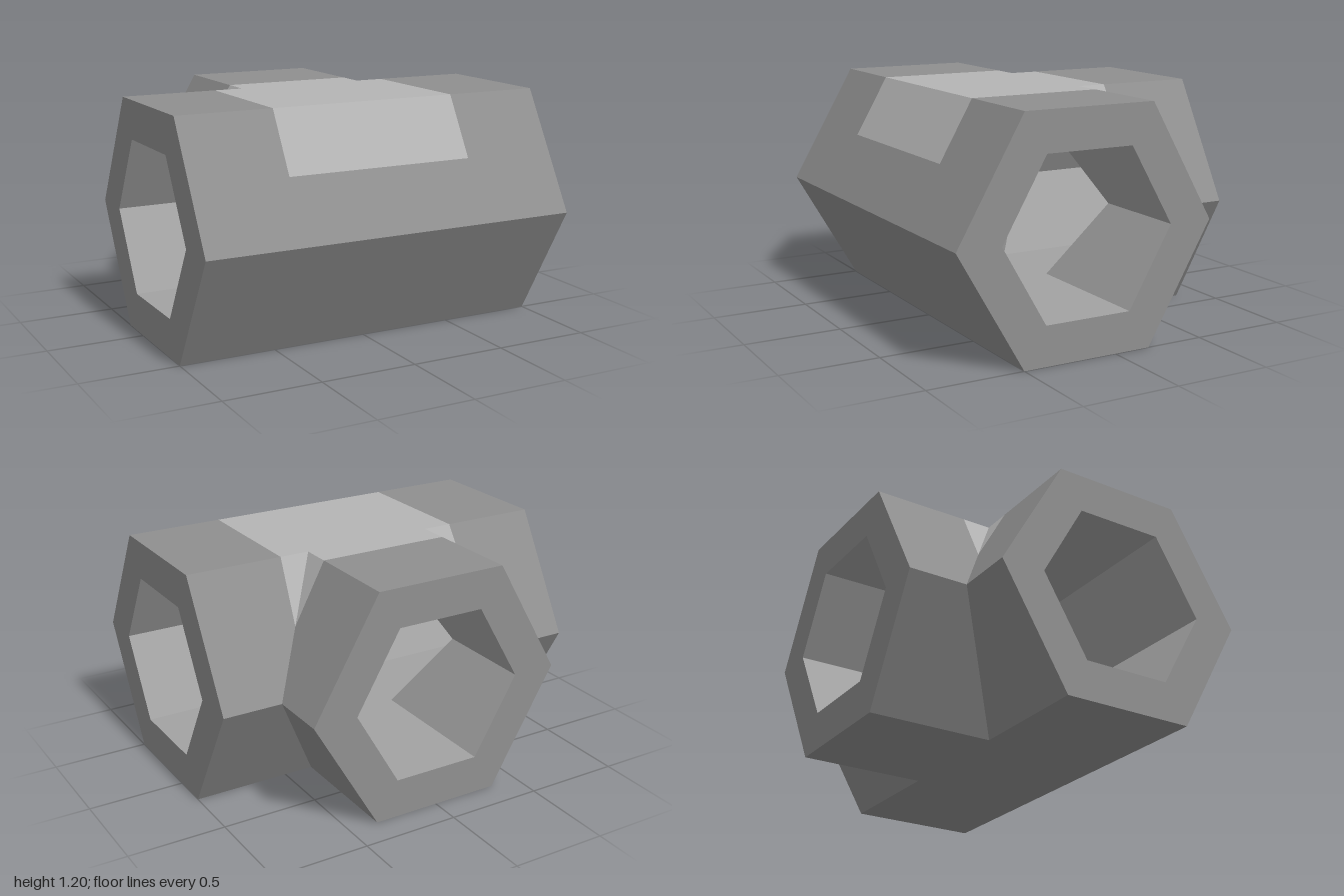
import * as THREE from 'three';

const R_OUT = 1.2 / Math.sqrt(3);  // outer hexagon corner radius
const R_IN = 0.8 / Math.sqrt(3);   // bore corner radius
const CY = 0.6, CZ = (1 - R_OUT) / 2; // where the three arm axes meet
const ARM = 1;                     // length of each arm
const PANEL = 0.5, DROP = 0.3;     // reach of the pale panel, height of its lower edge above the axes

// Local point: a along the main tube, b along the branch (backwards), y from the axis
const at = (a, b, y) => new THREE.Vector3(a, CY + y, CZ - b);

// Adds a convex polygon as a fan, wound so that it faces along 'out'
function poly(list, out, pts) {
  const n = new THREE.Vector3().subVectors(pts[1], pts[0])
    .cross(new THREE.Vector3().subVectors(pts[2], pts[0]));
  const p = n.dot(out) < 0 ? [...pts].reverse() : pts;
  for (let i = 1; i < p.length - 1; i++) {
    for (const v of [p[0], p[i], p[i + 1]]) list.push(v.x, v.y, v.z);
  }
}

function toMesh(list, material, name) {
  const g = new THREE.BufferGeometry();
  g.setAttribute('position', new THREE.Float32BufferAttribute(list, 3));
  g.computeVertexNormals();
  const mesh = new THREE.Mesh(g, material);
  mesh.name = name;
  return mesh;
}

// Walls of a hexagonal tee; facing = 1 looks outwards, -1 inwards
function teeWalls(R, facing, body, panel) {
  const h = R * Math.sqrt(3) / 2, half = R / 2;
  const r = y => R - y / Math.sqrt(3);
  const dir = (x, y, z) => new THREE.Vector3(x, y, z).multiplyScalar(facing);

  for (const v of [1, -1]) {
    const pale = v > 0 ? panel : body;

    // flat top and bottom
    const flat = (list, a0, a1, b0, b1) => poly(list, dir(0, v, 0),
      [at(a0, b0, v * h), at(a1, b0, v * h), at(a1, b1, v * h), at(a0, b1, v * h)]);
    flat(body, -ARM, -PANEL, -half, half);
    flat(pale, -PANEL, PANEL, -half, half);
    flat(body, PANEL, ARM, -half, half);
    flat(pale, -half, half, half, PANEL);
    flat(body, -half, half, PANEL, ARM);

    // front slopes
    const slope = (list, a0, a1, y0, y1) => poly(list, dir(0, v * 0.5, 1),
      [at(a0, -r(y0), v * y0), at(a1, -r(y0), v * y0), at(a1, -r(y1), v * y1), at(a0, -r(y1), v * y1)]);
    slope(body, -ARM, -PANEL, DROP, h);
    slope(pale, -PANEL, PANEL, DROP, h);
    slope(body, PANEL, ARM, DROP, h);
    slope(body, -ARM, ARM, 0, DROP);

    // back slopes of the main tube and side slopes of the branch, mitred together
    for (const s of [1, -1]) {
      for (const branch of [false, true]) {
        const pt = (along, across, y) => branch ? at(s * across, along, v * y) : at(s * along, across, v * y);
        const out = branch ? dir(s, v * 0.5, 0) : dir(0, v * 0.5, -1);
        const edge = pt(PANEL, half, h), mitre = pt(r(DROP), r(DROP), DROP);
        poly(pale, out, [pt(half, half, h), edge, mitre]);
        poly(body, out, [edge, pt(ARM, half, h), pt(ARM, R, 0), pt(R, R, 0), mitre]);
      }
    }
  }
}

// Hexagonal ring that closes the wall at an open end
function endRing(material, name) {
  const hex = R => Array.from({ length: 6 }, (_, i) =>
    new THREE.Vector2(R * Math.cos(i * Math.PI / 3), R * Math.sin(i * Math.PI / 3)));
  const shape = new THREE.Shape(hex(R_OUT));
  shape.holes.push(new THREE.Path(hex(R_IN).reverse()));
  const mesh = new THREE.Mesh(new THREE.ShapeGeometry(shape), material);
  mesh.name = name;
  return mesh;
}

export function createModel() {
  const group = new THREE.Group();
  group.name = 'hexagonalTee';
  const paint = color => new THREE.MeshStandardMaterial({ color, flatShading: true });
  const darkGrey = paint(0x8f8f8f), paleGrey = paint(0xb4b4b4), midGrey = paint(0xa2a2a2);

  // outer shell with its pale panel, and the bore
  const shell = [], panel = [], bore = [];
  teeWalls(R_OUT, 1, shell, panel);
  teeWalls(R_IN, -1, bore, bore);
  group.add(
    toMesh(shell, darkGrey, 'outerShell'),
    toMesh(panel, paleGrey, 'topPanel'),
    toMesh(bore, midGrey, 'bore'),
  );

  // three open ends
  for (const [name, x, z, turn] of [
    ['leftEnd', ARM, CZ, Math.PI / 2],
    ['rightEnd', -ARM, CZ, -Math.PI / 2],
    ['branchEnd', 0, CZ - ARM, Math.PI],
  ]) {
    const ring = endRing(darkGrey, name);
    ring.position.set(x, CY, z);
    ring.rotation.y = turn;
    group.add(ring);
  }
  return group;
}
